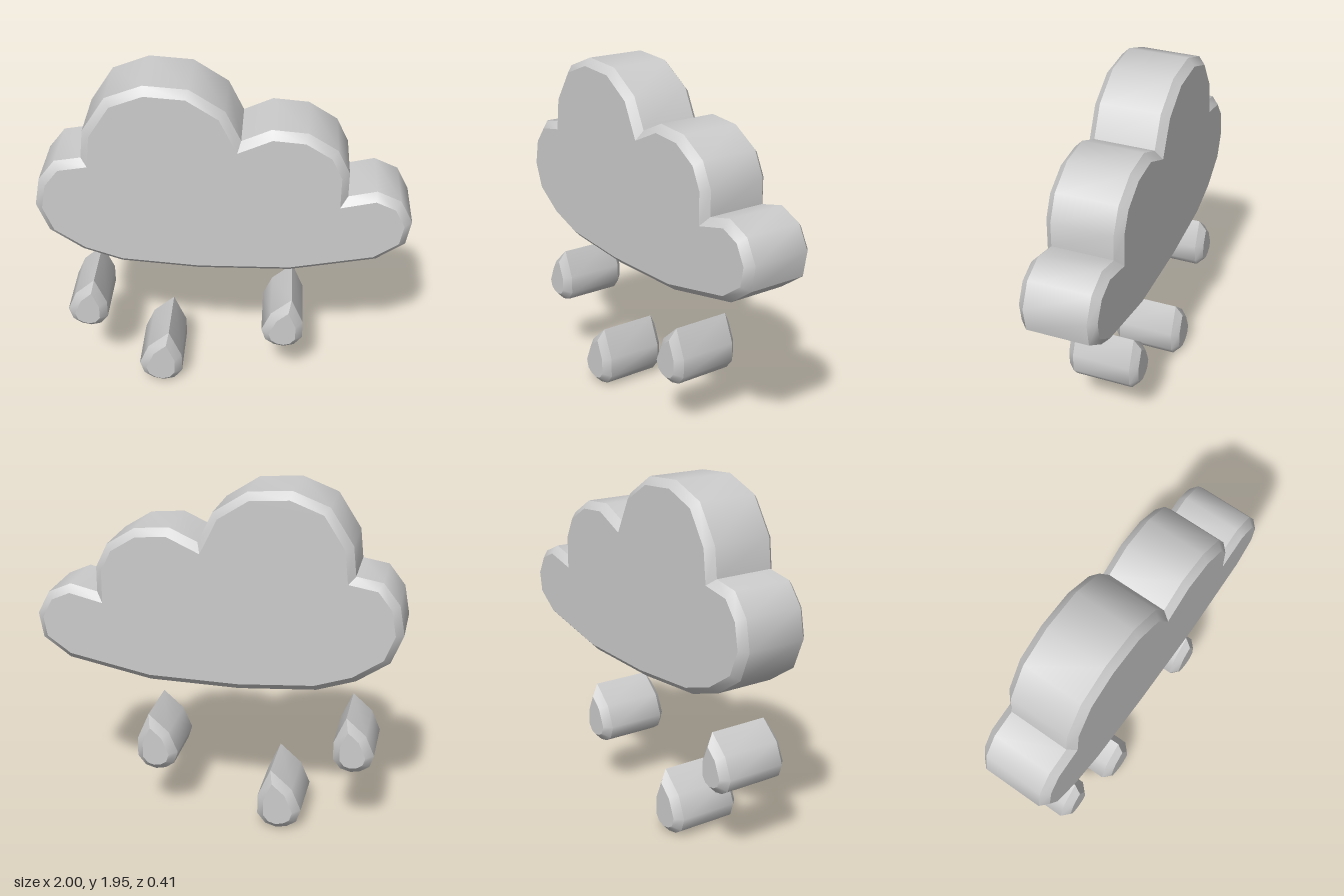
import * as THREE from 'three';
import { toCreasedNormals } from 'three/addons/utils/BufferGeometryUtils.js';

const HALF_DEPTH = 0.207;
const BEVEL = 0.04;

// Outlines run counter-clockwise seen from the front
const CLOUD = [
  [-1, 1.225], [-0.938, 1.064], [-0.762, 0.944], [-0.553, 0.874], [-0.13, 0.842], [0.366, 0.85],
  [0.826, 0.941], [0.976, 1.048], [1, 1.187], [0.933, 1.315], [0.805, 1.372], [0.655, 1.337],
  [0.655, 1.476], [0.59, 1.61], [0.436, 1.706], [0.248, 1.722], [0.094, 1.652], [0.013, 1.818],
  [-0.17, 1.936], [-0.4, 1.952], [-0.595, 1.877], [-0.72, 1.685], [-0.738, 1.525], [-0.88, 1.5],
  [-0.97, 1.385],
];

// Raindrop outline measured from its tip
const DROP = [
  [0, 0], [-0.109, -0.096], [-0.158, -0.209], [-0.136, -0.278], [-0.088, -0.31],
  [-0.035, -0.321], [0.022, -0.305], [0.064, -0.252], [0.064, -0.15],
];

// Moves every edge of an outline inward by d, with mitred corners
function inset(points, d) {
  const n = points.length;
  const normals = points.map((p, i) => {
    const q = points[(i + 1) % n];
    return new THREE.Vector2(p.y - q.y, q.x - p.x).normalize();
  });
  return points.map((p, i) => {
    const a = normals[(i + n - 1) % n], b = normals[i];
    return a.clone().add(b).multiplyScalar(d / (1 + a.dot(b))).add(p);
  });
}

// Thick slab with a chamfer around both faces
function chamferedSlab(outline) {
  const outer = outline.map(([x, y]) => new THREE.Vector2(x, y));
  const inner = inset(outer, BEVEL);
  const n = outer.length;
  const rings = [
    [inner, HALF_DEPTH], [outer, HALF_DEPTH - BEVEL],
    [outer, BEVEL - HALF_DEPTH], [inner, -HALF_DEPTH],
  ];
  const positions = [], index = [];
  for (const [ring, z] of rings) for (const p of ring) positions.push(p.x, p.y, z);

  // chamfers and side wall
  for (let r = 0; r < 3; r++) {
    for (let i = 0; i < n; i++) {
      const j = (i + 1) % n;
      const a = r * n + i, b = r * n + j, c = a + n, d = b + n;
      index.push(a, c, d, a, d, b);
    }
  }
  // front and back faces
  for (const [a, b, c] of THREE.ShapeUtils.triangulateShape(inner, [])) {
    index.push(a, b, c, 3 * n + a, 3 * n + c, 3 * n + b);
  }

  const geometry = new THREE.BufferGeometry();
  geometry.setAttribute('position', new THREE.Float32BufferAttribute(positions, 3));
  geometry.setIndex(index);
  return toCreasedNormals(geometry, 0.74);
}

export function createModel() {
  const group = new THREE.Group();
  group.name = 'rainCloud';
  const material = new THREE.MeshStandardMaterial({ color: 0xcccccc });

  const add = (name, outline) => {
    const mesh = new THREE.Mesh(chamferedSlab(outline), material);
    mesh.name = name;
    group.add(mesh);
  };

  add('cloud', CLOUD);

  // Raindrops: tip position and size
  const drops = [
    ['rightRaindrop', -0.722, 0.722, 1],
    ['middleRaindrop', -0.313, 0.358, 1.115],
    ['leftRaindrop', 0.385, 0.631, 1.05],
  ];
  for (const [name, x, y, s] of drops) {
    add(name, DROP.map(([dx, dy]) => [x + dx * s, y + dy * s]));
  }
  return group;
}
